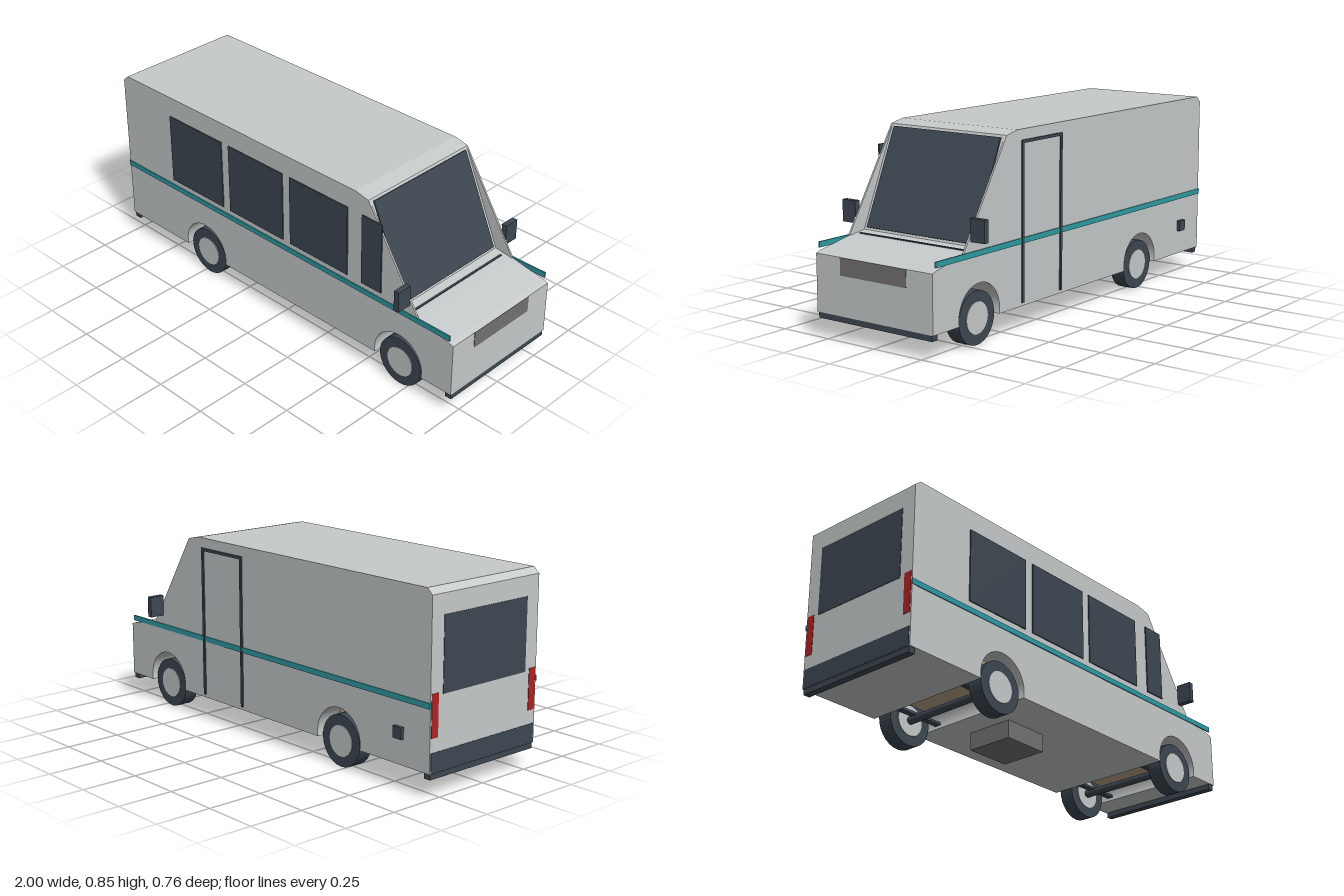
import * as THREE from 'three';

const mat = (name, color) => new THREE.MeshStandardMaterial({ name, color });

export function createModel() {
  const paint = mat('body paint', 0xc6caca);
  const dark = mat('dark glass and rubber', 0x3d4751);
  const teal = mat('teal stripe', 0x2f9ba3);
  const grey = mat('grey plastic', 0x747171);
  const tan = mat('tan underside', 0xb9a385);
  const red = mat('red lamp', 0xb02222);

  const van = new THREE.Group();
  van.name = 'van';

  const add = (name, geometry, material, parent = van) => {
    const mesh = new THREE.Mesh(geometry, material);
    mesh.name = name;
    parent.add(mesh);
    return mesh;
  };
  // Box given by its limits on each axis
  const box = (name, material, [x0, x1], [y0, y1], [z0, z1]) => {
    const mesh = add(name, new THREE.BoxGeometry(x1 - x0, y1 - y0, z1 - z0), material);
    mesh.position.set((x0 + x1) / 2, (y0 + y1) / 2, (z0 + z1) / 2);
    return mesh;
  };
  // Side profile extruded across z
  const slab = (name, shape, material, z0, z1) => {
    const geo = new THREE.ExtrudeGeometry(shape, { depth: z1 - z0, bevelEnabled: false, curveSegments: 24 });
    geo.translate(0, 0, z0);
    return add(name, geo, material);
  };

  const W = 0.308;            // half width of the body
  const axles = [-0.475, 0.71];
  const archR = 0.13, archY = 0.13, floorY = 0.105;
  const dip = Math.asin((archY - floorY) / archR);

  // Body shell with wheel arches cut through the lower edge
  const body = new THREE.Shape();
  body.moveTo(-0.998, floorY);
  for (const x of axles) {
    body.lineTo(x - archR * Math.cos(dip), floorY);
    body.absarc(x, archY, archR, Math.PI + dip, -dip, true);
  }
  for (const [x, y] of [[0.998, floorY], [0.998, 0.35], [0.975, 0.358], [0.81, 0.39], [0.72, 0.403],
    [0.53, 0.83], [0.46, 0.845], [-0.97, 0.845], [-0.998, 0.82]]) body.lineTo(x, y);
  body.closePath();
  slab('body', body, paint, -W, W);

  // Thin pillars beside the windscreen
  const pillar = new THREE.Shape([[0.53, 0.83], [0.72, 0.403], [0.81, 0.39]].map(p => new THREE.Vector2(...p)));
  for (const s of [-1, 1]) slab('windscreenPillar', pillar, paint, s * 0.304 - 0.004, s * 0.304 + 0.004);

  // Windscreen, laid on the sloping front
  const a = new THREE.Vector2(0.535, 0.819), b = new THREE.Vector2(0.716, 0.412);
  const screen = add('windscreen', new THREE.BoxGeometry(0.008, a.distanceTo(b), 0.57), dark);
  screen.position.set((a.x + b.x) / 2 + 0.002, (a.y + b.y) / 2 + 0.001, 0);
  screen.rotation.z = Math.atan2(b.x - a.x, a.y - b.y);
  box('wiper', dark, [0.76, 0.77], [0.39, 0.4], [-0.28, 0.28]);

  // Side windows
  for (const span of [[-0.68, -0.34], [-0.295, 0.04], [0.083, 0.42], [0.5, 0.61]])
    box('sideWindow', dark, span, [0.42, 0.75], [0.306, 0.313]);

  // Entry door frame
  const doorZ = [-0.314, -0.306];
  for (const x of [0.15, 0.42]) box('doorPost', dark, [x, x + 0.013], [0.12, 0.8], doorZ);
  box('doorHeader', dark, [0.15, 0.433], [0.787, 0.8], doorZ);

  // Parts mirrored on both sides
  for (const s of [-1, 1]) {
    const side = (z0, z1) => (s > 0 ? [z0, z1] : [-z1, -z0]);
    box('stripe', teal, [-1, 0.98], [0.37, 0.394], side(0.305, 0.312));
    box('mirror', dark, [0.74, 0.765], [0.435, 0.53], side(0.306, 0.378));
    box('tailLamp', red, [-1, -0.994], [0.25, 0.43], side(0.265, 0.302));
    for (const x of axles) box('leafSpring', dark, [x - 0.133, x + 0.133], [0.12, 0.132], side(0.17, 0.2));
  }

  // Front and rear ends
  box('grille', grey, [0.994, 1], [0.275, 0.35], [-0.175, 0.175]);
  box('frontBumper', dark, [0.965, 0.996], [0.08, 0.105], [-0.302, 0.302]);
  box('rearBumper', dark, [-0.996, -0.965], [0.08, 0.105], [-0.302, 0.302]);
  box('rearSkirt', dark, [-1, -0.994], [0.105, 0.19], [-0.302, 0.302]);
  box('rearWindow', dark, [-1, -0.994], [0.42, 0.735], [-0.24, 0.24]);
  box('fuelCap', dark, [-0.855, -0.808], [0.215, 0.265], [-0.323, -0.306]);

  // Underside
  box('tank', grey, [-0.22, 0], [0.025, 0.106], [-0.11, 0.11]);
  box('rearFloor', tan, [-0.6, -0.35], [0.17, 0.262], [-0.2, 0.2]);
  box('frontFloor', tan, [0.582, 0.838], [0.17, 0.186], [-0.2, 0.2]);

  // Axles and wheels
  const cylinder = (r, h, n) => new THREE.CylinderGeometry(r, r, h, n).rotateX(Math.PI / 2);
  for (const x of axles) {
    add('axle', cylinder(0.018, 0.48, 16), dark).position.set(x, 0.113, 0);
    for (const s of [-1, 1]) {
      const wheel = new THREE.Group();
      wheel.name = 'wheel';
      wheel.position.set(x, 0.113, s * 0.259);
      add('tyre', cylinder(0.113, 0.068, 28), dark, wheel);
      add('hub', cylinder(0.068, 0.074, 28), paint, wheel);
      van.add(wheel);
    }
  }
  return van;
}
